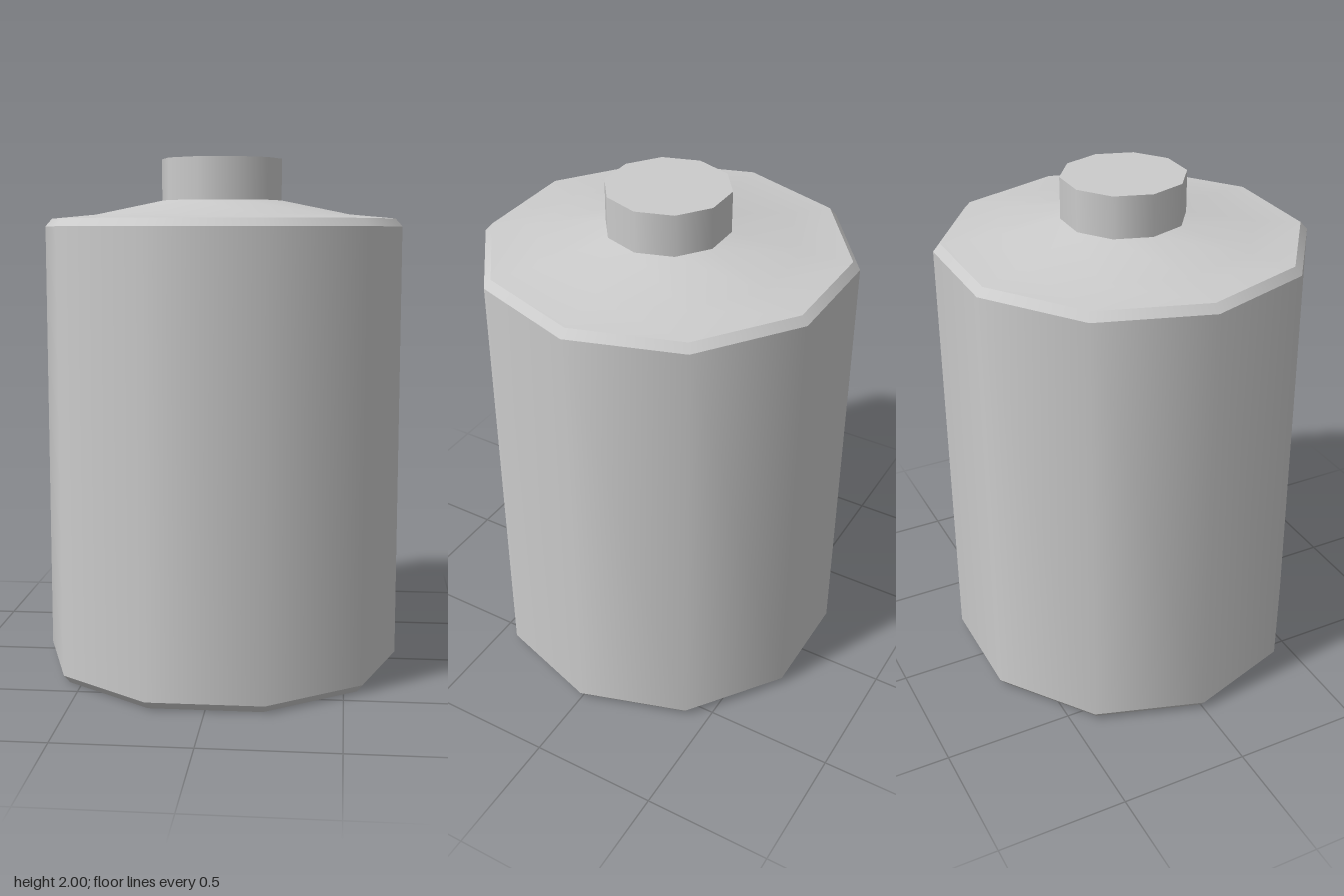
import * as THREE from 'three';

const SIDES = 10;
const material = new THREE.MeshStandardMaterial({ color: 0xcccccc });

// One smooth ten-sided band; profile points [radius, y] run upward along the outside
function band(name, profile) {
  const points = profile.map(([r, y]) => new THREE.Vector2(r, y));
  const mesh = new THREE.Mesh(new THREE.LatheGeometry(points, SIDES, Math.PI / 2), material);
  mesh.name = name;
  return mesh;
}

// Flat ten-sided disc facing up or down
function disc(name, radius, y, up) {
  const mesh = new THREE.Mesh(new THREE.CircleGeometry(radius, SIDES), material);
  mesh.rotation.x = up ? -Math.PI / 2 : Math.PI / 2;
  mesh.position.y = y;
  mesh.name = name;
  return mesh;
}

export function createModel() {
  const model = new THREE.Group();
  model.name = 'canister';

  // Separate bands keep the edges between them sharp
  model.add(
    disc('base', 0.68, 0, false),
    band('lowerBevel', [[0.68, 0], [0.705, 0.03]]),
    band('body', [[0.705, 0.03], [0.705, 1.74]]),
    band('upperBevel', [[0.705, 1.74], [0.678, 1.77]]),
    band('shoulder', [[0.678, 1.77], [0.5, 1.786], [0.235, 1.84]]),
    band('neck', [[0.235, 1.84], [0.235, 2]]),
    disc('neckTop', 0.235, 2, true),
  );
  return model;
}
